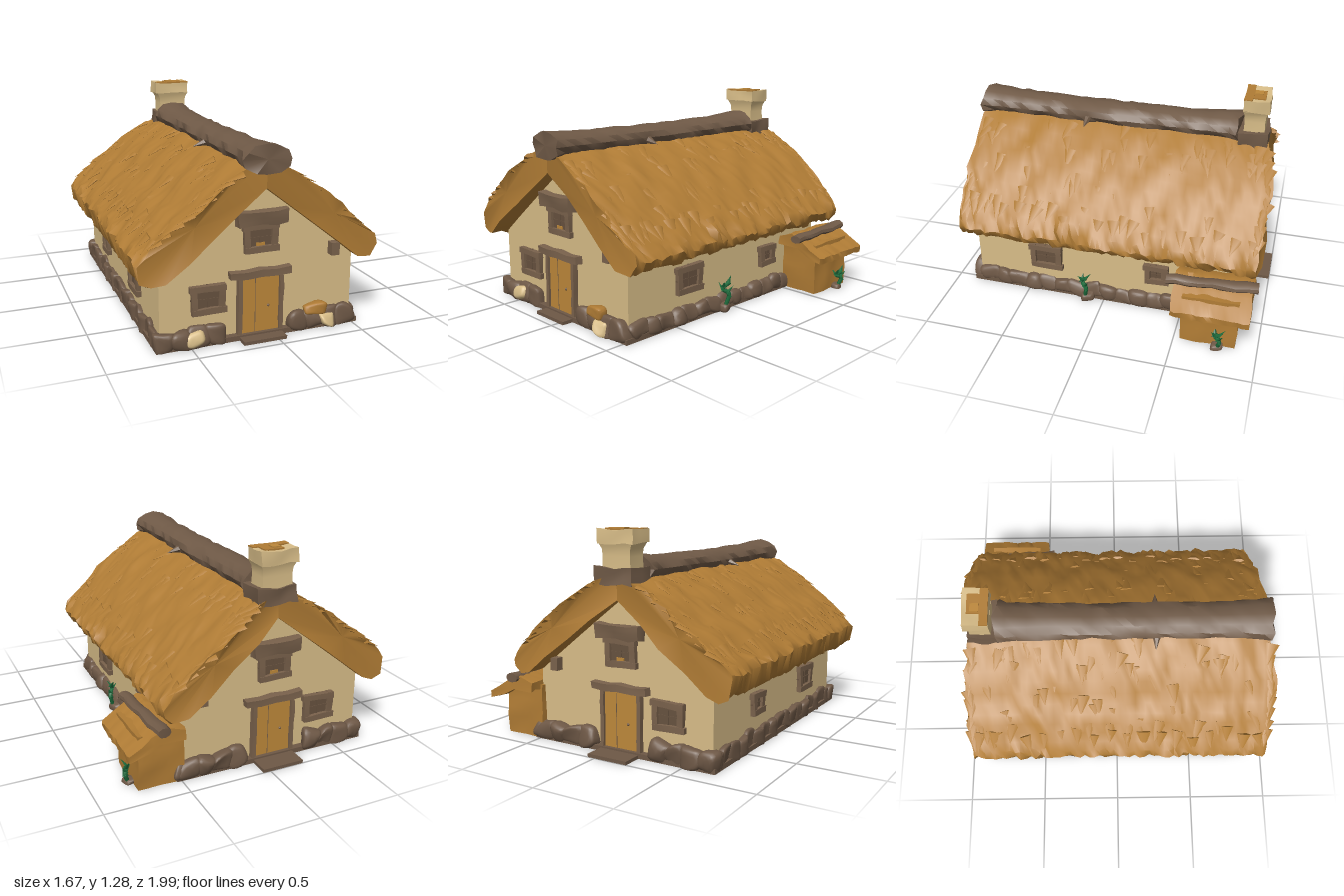
import * as THREE from 'three';
import { mergeGeometries, toCreasedNormals } from 'three/addons/utils/BufferGeometryUtils.js';

const CX = -0.085; // ridge line of the house
const mat = (name, color) => Object.assign(new THREE.MeshStandardMaterial({ color }), { name });
const V = (x, y, z) => new THREE.Vector3(x, y, z);

// seeded random and a smooth position-based noise
let seed = 7;
const rnd = (a = 0, b = 1) => {
  seed = (seed * 16807) % 2147483647;
  return a + (b - a) * (seed / 2147483647);
};
const noise = (x, y, z, f) =>
  (Math.sin(x * f + 1.7 * Math.sin(z * f * 0.7)) + Math.sin(y * f * 1.3 + 2 + x * f * 0.6) + Math.sin(z * f * 1.1 + y * f + 4)) / 3;

// pushes the vertices about by noise, never below the ground
function roughen(geo, amp, f = 25) {
  const p = geo.attributes.position;
  for (let i = 0; i < p.count; i++) {
    const x = p.getX(i), y = p.getY(i), z = p.getZ(i);
    p.setXYZ(i, x + amp * noise(y + 3, z, x, f), Math.max(0, y + amp * noise(z, x + 5, y, f)), z + amp * noise(x, y, z + 9, f));
  }
  return toCreasedNormals(geo.index ? geo.toNonIndexed() : geo, 0.7);
}

// box given by its limits, with a rough surface
function slab(x0, x1, y0, y1, z0, z1, amp = 0.006, n = 4) {
  const g = new THREE.BoxGeometry(x1 - x0, y1 - y0, z1 - z0, n, n, n);
  g.translate((x0 + x1) / 2, (y0 + y1) / 2, (z0 + z1) / 2);
  return amp ? roughen(g, amp) : g;
}

// skin over closed rings (counter-clockwise, running to +z) with capped ends
function loft(rings, crease = 0.6) {
  const n = rings[0].length, pos = [], idx = [];
  rings.forEach(r => r.forEach(v => pos.push(v.x, v.y, v.z)));
  for (let i = 0; i < rings.length - 1; i++)
    for (let j = 0; j < n; j++) {
      const a = i * n + j, b = i * n + (j + 1) % n;
      idx.push(a, b, b + n, a, b + n, a + n);
    }
  [0, rings.length - 1].forEach((i, end) => {
    const c = rings[i].reduce((s, v) => s.add(v), V(0, 0, 0)).divideScalar(n), k = pos.length / 3;
    pos.push(c.x, c.y, c.z);
    for (let j = 0; j < n; j++) {
      const a = i * n + j, b = i * n + (j + 1) % n;
      end ? idx.push(k, a, b) : idx.push(k, b, a);
    }
  });
  const g = new THREE.BufferGeometry();
  g.setAttribute('position', new THREE.Float32BufferAttribute(pos, 3));
  g.setIndex(idx);
  return toCreasedNormals(g.toNonIndexed(), crease);
}

export function createModel() {
  const house = new THREE.Group();
  house.name = 'cottage';
  const plaster = mat('plaster', 0xd8bd88), thatch = mat('thatch', 0xb07c35), bark = mat('bark', 0x705a47),
    stone = mat('stone', 0x6e5846), frame = mat('frame wood', 0x7a624c), pane = mat('dark pane', 0x67523f),
    ochre = mat('ochre wood', 0xbd883a), leaf = mat('leaf', 0x1f6f3e);
  const add = (name, geo, m, parent = house) => {
    const mesh = new THREE.Mesh(geo, m);
    mesh.name = name;
    parent.add(mesh);
  };
  const group = (name, x, y, z, ry = 0) => {
    const g = new THREE.Group();
    g.name = name;
    g.position.set(x, y, z);
    g.rotation.y = ry;
    house.add(g);
    return g;
  };

  // walls with gables
  const gable = new THREE.Shape([[-0.67, 0.02], [0.5, 0.02], [0.5, 0.46], [CX, 0.92], [-0.67, 0.46]].map(p => new THREE.Vector2(...p)));
  add('walls', new THREE.ExtrudeGeometry(gable, { depth: 1.68, bevelEnabled: false }).translate(0, 0, -0.84), plaster);
  add('floorPlate', slab(-0.7, 0.53, 0, 0.03, -0.88, 0.88, 0), stone);

  // thatched roof: two thick slopes, the right one a little fuller at the eave
  const under = [[0, 0.88], [0.15, 0.765], [0.3, 0.648], [0.45, 0.53], [0.58, 0.425], [0.66, 0.405], [0.705, 0.44]];
  const slope = [[0.725, 0.485], [0.695, 0.53], [0.65, 0.575], [0.6, 0.62], [0.55, 0.665], [0.5, 0.708], [0.45, 0.75],
    [0.39, 0.8], [0.33, 0.848], [0.27, 0.893], [0.2, 0.94], [0.13, 0.98], [0, 1.03]];
  for (const s of [1, -1]) {
    const top = slope.map(([d, y]) => [d, y + (s < 0 ? 0.1 * d * d : 0)]), profile = under.concat(top);
    // gable edges lean out from the ridge, then draw in again to the eave
    const [backMid, backEave, frontMid, frontEave] = s > 0 ? [-0.97, -0.945, 0.925, 0.905] : [-0.93, -0.92, 0.97, 0.945];
    const edgeZ = (d, ridge, mid, eave) => d < 0.36 ? ridge + (mid - ridge) * d / 0.36 : mid + (eave - mid) * (d - 0.36) / 0.37;
    const zAt = (d, t) => edgeZ(d, -0.88, backMid, backEave) * (1 - t) + edgeZ(d, 0.93, frontMid, frontEave) * t;
    const rings = [], N = 60;
    for (let i = 0; i <= N; i++) {
      const t = i / N, edge = i === 0 || i === N;
      const ring = profile.map(([d, y], j) => {
        const z = zAt(d, t), eave = j >= 5 && j <= 8;
        const w = d === 0 || j < 5 ? 0 : 0.012 * noise(d * s, y, z, 20) + rnd(-0.006, 0.006);
        return V(CX + s * (d + w * 0.7 + (eave ? rnd(-0.015, 0.015) : 0)), y + w + (eave ? rnd(-0.012, 0.012) : 0), z + (edge && d > 0 ? rnd(-0.018, 0.018) : 0));
      });
      rings.push(s > 0 ? ring : ring.reverse());
    }
    add(s > 0 ? 'leftRoofSlope' : 'rightRoofSlope', loft(rings, 0.9), thatch);

    // loose tufts pointing down the slope
    const tufts = [];
    const tuft = (d, t, lift, size) => {
      const k = Math.max(1, top.findIndex(p => p[0] <= d)), [a, b] = [top[k], top[k - 1]];
      const y = a[1] + (d - a[0]) / (b[0] - a[0]) * (b[1] - a[1]);
      const angle = Math.atan2(a[1] - b[1], b[0] - a[0]) - lift;
      const g = new THREE.ConeGeometry(0.05 * size, 0.15 * size, 6);
      g.scale(0.3, 1, 1).rotateX(rnd(-0.3, 0.3));
      g.rotateZ(Math.atan2(-s * Math.cos(angle), -Math.sin(angle)));
      tufts.push(g.translate(CX + s * d, y, zAt(d, t)).toNonIndexed());
    };
    for (let i = 0; i < 50; i++) tuft(rnd(0.15, 0.64), rnd(0.03, 0.97), 0.1, rnd(0.6, 1));
    for (let i = 0; i < 18; i++) tuft(rnd(0.6, 0.68), 0.03 + i * 0.055, rnd(-0.1, 0.1), rnd(0.6, 0.95)); // eave fringe
    for (const t of [0.015, 0.985])
      for (let i = 0; i < 9; i++) tuft(0.2 + i * 0.055, t, rnd(0.15, 0.25), rnd(0.65, 0.95)); // gable fringe
    add('thatchTufts', toCreasedNormals(mergeGeometries(tufts), 0.9), thatch);
  }

  // bark ridge cap, swelling at both ends
  const ridge = [];
  for (let i = 0; i <= 26; i++) {
    const t = i / 26, z = -0.725 + t * 1.665, v = Math.abs(2 * t - 1), grow = 1 + 0.2 * v ** 6;
    const ring = [];
    for (let j = 0; j < 12; j++) {
      const a = j / 12 * Math.PI * 2, k = grow * rnd(0.91, 1.07);
      ring.push(V(CX + 0.115 * k * Math.cos(a), 1.03 + 0.07 * k * Math.sin(a) + 0.01 * v, z + (v === 1 ? rnd(-0.02, 0.02) : 0)));
    }
    ridge.push(ring);
  }
  add('ridgeCap', loft(ridge, 0.7), bark);
  for (const s of [1, -1]) add('ridgeKnot', roughen(new THREE.ConeGeometry(0.035, 0.12, 6).rotateZ(-s * 1.85).translate(CX + s * 0.125, 1.01, 0.24), 0.006), bark);

  // chimney: flared shaft under a heavy cap
  add('chimneyFoot', slab(-0.2, 0.045, 0.96, 1.055, -0.9, -0.72, 0.014), bark);
  const shaft = [[1, 1.0], [0.94, 1.12], [0.98, 1.16], [1.16, 1.195]].map(([k, y]) =>
    [[-1, -1], [-1, 1], [1, 1], [1, -1]].map(([a, b]) => V(-0.078 + a * 0.097 * k, y, -0.81 + b * 0.065 * k)));
  add('chimneyShaft', loft(shaft, 0.5), plaster);
  add('chimneyCap', slab(-0.197, 0.037, 1.19, 1.264, -0.89, -0.735, 0.01), plaster);
  add('chimneyTopFront', slab(-0.195, 0.035, 1.262, 1.271, -0.785, -0.735, 0.002), thatch);
  add('chimneyTopBack', slab(-0.12, 0.0, 1.262, 1.271, -0.86, -0.785, 0.002), thatch);
  add('chimneyFlue', slab(-0.11, -0.06, 1.268, 1.276, -0.84, -0.79, 0), ochre);

  // windows, built facing +z
  function makeWindow(x, y, z, ry, w, h) {
    const g = group('window', x, y, z, ry), t = 0.035;
    add('pane', slab(-w / 2 + 0.01, w / 2 - 0.01, -h / 2 + 0.01, h / 2 - 0.01, -0.01, 0.012, 0), pane, g);
    add('crossBar', slab(-w / 2, w / 2, -0.004, 0.004, 0, 0.016, 0), pane, g);
    add('middleBar', slab(-0.004, 0.004, -h / 2, h / 2, 0, 0.016, 0), pane, g);
    const bars = [[-w / 2 - 0.01, w / 2 + 0.005, h / 2 - t, h / 2], [-w / 2, w / 2 + 0.01, -h / 2, -h / 2 + t],
      [-w / 2, -w / 2 + t, -h / 2, h / 2], [w / 2 - t, w / 2, -h / 2, h / 2]];
    bars.forEach(([a, b, c, d], i) => {
      const geo = new THREE.BoxGeometry(b - a, d - c, 0.045 - 0.008 * (i > 1), 5, 5, 2);
      geo.rotateZ(rnd(-0.04, 0.04)).translate((a + b) / 2, (c + d) / 2 + 2, 0.01);
      add('frameBar', roughen(geo, 0.005).translate(0, -2, 0), frame, g);
    });
  }
  for (const [x, ry] of [[0.5, Math.PI / 2], [-0.67, -Math.PI / 2]]) {
    makeWindow(x, 0.265, 0.38, ry, 0.2, 0.17);
    makeWindow(x, 0.26, -0.335, ry, 0.14, 0.135);
  }

  // door, gable window, hood, beam end and step on both gables
  for (const s of [1, -1]) {
    const ry = s > 0 ? 0 : Math.PI, z = 0.84 * s;
    makeWindow(-0.395, 0.265, z, ry, 0.195, 0.17);
    makeWindow(CX, 0.585, z, ry, 0.2, 0.17);
    const g = group(s > 0 ? 'frontDoorway' : 'backDoorway', CX, 0, z, ry);
    add('door', slab(-0.115, 0.115, 0.015, 0.365, -0.01, 0.018, 0), ochre, g);
    add('plankGap', slab(-0.031, -0.028, 0.03, 0.35, 0.015, 0.02, 0), frame, g);
    add('doorHandle', new THREE.SphereGeometry(0.008, 8, 6).translate(0.05, 0.18, 0.02), frame, g);
    for (const e of [-1, 1]) add('doorPost', slab(e * 0.125 - 0.012, e * 0.125 + 0.012, 0, 0.38, -0.01, 0.035, 0.006), frame, g);
    add('doorLintel', slab(-0.185, 0.185, 0.36, 0.402, -0.02, 0.05, 0.008), frame, g);
    add('windowHood', slab(-0.15, 0.15, 0.665, 0.74, -0.02, 0.06, 0.014), frame, g);
    add('windowGlow', slab(-0.025, 0.025, 0.535, 0.556, 0.012, 0.019, 0), ochre, g);
    add('doorstep', slab(-0.13, 0.13, 0, 0.02, 0, s > 0 ? 0.11 : 0.16, 0), stone, g);
    add('beamEnd', slab(0.43, 0.48, 0.435, 0.51, -0.02, 0.05, 0).translate(s > 0 ? 0 : -0.91, 0, 0), frame, g);
  }

  // blocky boulders round the foot of the walls
  const square = c => Math.sign(c) * Math.abs(c) ** 0.55;
  const boulder = (x, y, z, rx, ry, rz) => {
    const g = new THREE.IcosahedronGeometry(1, 3), p = g.attributes.position;
    for (let i = 0; i < p.count; i++) p.setXYZ(i, square(p.getX(i)) * rx, square(p.getY(i)) * ry, square(p.getZ(i)) * rz);
    return roughen(g.rotateX(rnd(-0.12, 0.12)).rotateZ(rnd(-0.12, 0.12)).translate(x, y, z), 0.02, 28);
  };
  const rocks = [];
  for (const s of [1, -1]) {
    for (let x = -0.65; x < 0.5; x += 0.1)
      if (Math.abs(x - CX) > 0.18) rocks.push(boulder(x, rnd(0.048, 0.062), s * 0.85, rnd(0.055, 0.068), rnd(0.055, 0.066), rnd(0.038, 0.05)));
    for (let z = -0.83; z < 0.86; z += 0.1)
      rocks.push(boulder(s > 0 ? 0.5 : -0.67, rnd(0.045, 0.06), z, rnd(0.03, 0.042), rnd(0.052, 0.064), rnd(0.055, 0.068)));
  }
  rocks.push(boulder(0.54, 0.035, 0.1, 0.035, 0.035, 0.04));
  add('foundationStones', mergeGeometries(rocks), stone);
  add('ochreStone', boulder(0.265, 0.118, 0.865, 0.065, 0.04, 0.045), thatch);
  add('paleStone', boulder(0.33, 0.048, 0.88, 0.05, 0.04, 0.04), plaster);
  add('paleStone', boulder(-0.475, 0.055, 0.875, 0.05, 0.035, 0.04), plaster);

  // lean-to shed with thatch and a log on top
  add('shedBody', slab(0.48, 0.755, 0, 0.33, -0.87, -0.535, 0.008, 6), thatch);
  const shedProfile = [[0.5, 0.3], [0.62, 0.31], [0.72, 0.26], [0.79, 0.235], [0.83, 0.225], [0.83, 0.262], [0.76, 0.305], [0.69, 0.345], [0.61, 0.385], [0.5, 0.35]];
  const shedRings = [];
  for (let i = 0; i <= 14; i++)
    shedRings.push(shedProfile.map(([x, y]) => V(x + rnd(-0.006, 0.006), y + rnd(-0.006, 0.006), -0.94 + i / 14 * 0.46 + rnd(-0.006, 0.006))));
  add('shedRoof', loft(shedRings, 0.9), thatch);
  add('shedLog', roughen(new THREE.CylinderGeometry(0.036, 0.042, 0.54, 9, 8).scale(1, 1, 0.7).rotateX(Math.PI / 2).rotateY(0.07).translate(0.65, 0.372, -0.695), 0.008), bark);

  // plants: bent stems with pointed leaves
  function plant(x, y, z, h) {
    const g = group('plant', x, y, z);
    const path = new THREE.CatmullRomCurve3([V(0, -0.03, 0), V(0.014, h * 0.35, -0.01), V(-0.01, h * 0.65, 0.025), V(0.012, h, -0.015)]);
    add('stem', new THREE.TubeGeometry(path, 10, 0.013, 5), leaf, g);
    for (let i = 0; i < 5; i++) {
      const blade = new THREE.ConeGeometry(0.019, 0.06, 4).translate(0, 0.025, 0).scale(1, 1, 0.6).rotateX(0.7).rotateY(i * 2.4);
      const p = path.getPoint(0.25 + i * 0.17);
      add('leafBlade', blade.translate(p.x, p.y, p.z), leaf, g);
    }
  }
  plant(0.565, 0.08, 0.11, 0.11);
  plant(0.785, 0.05, -0.77, 0.06);
  add('plantStone', boulder(0.775, 0.02, -0.77, 0.025, 0.025, 0.03), stone);
  return house;
}
